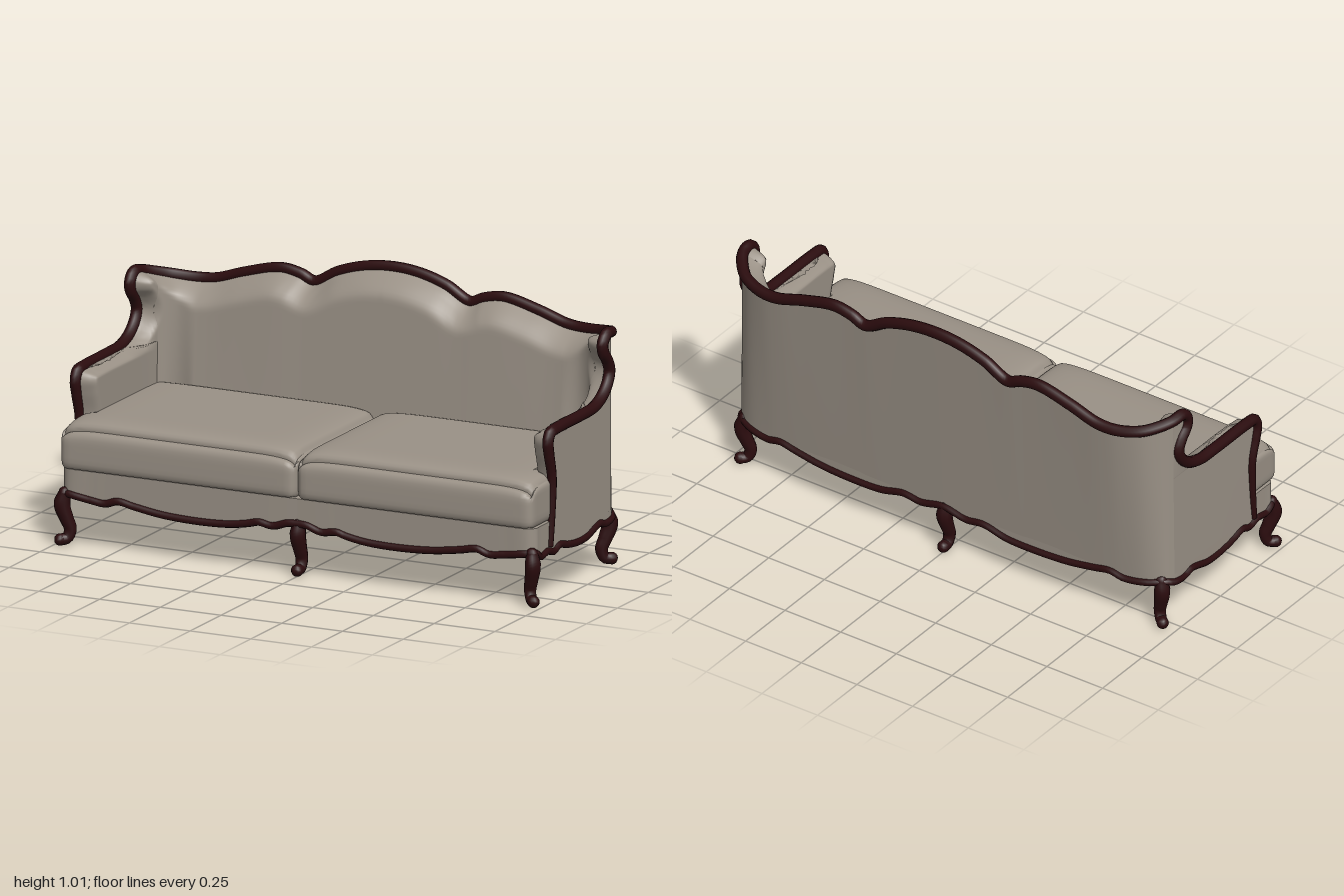
import * as THREE from 'three';
import { toCreasedNormals } from 'three/addons/utils/BufferGeometryUtils.js';

const V = (x, y, z) => new THREE.Vector3(x, y, z);
const spline = (pts, closed = false) => new THREE.CatmullRomCurve3(pts, closed, 'centripetal');
const flipX = p => V(-p.x, p.y, p.z);
const mirrored = pts => [...pts, ...pts.slice(0, -1).reverse().map(flipX)];
const { lerp, clamp } = THREE.MathUtils;

// Mirror a geometry to the other side, keeping its faces outward
function mirrorGeometry(geo) {
  const g = (geo.index ? geo.toNonIndexed() : geo.clone()).scale(-1, 1, 1);
  const index = [];
  for (let i = 0; i < g.attributes.position.count; i += 3) index.push(i, i + 2, i + 1);
  g.setIndex(index);
  return g;
}

// Tube whose radius follows a function of its length
function taperedTube(curve, segments, sides, radius, closed = false) {
  const g = new THREE.TubeGeometry(curve, segments, 1, sides, closed);
  const p = g.attributes.position, v = V(0, 0, 0);
  for (let i = 0; i <= segments; i++) {
    const c = curve.getPointAt(i / segments), r = radius(i / segments);
    for (let j = 0; j <= sides; j++) {
      const k = i * (sides + 1) + j;
      v.fromBufferAttribute(p, k).sub(c).multiplyScalar(r).add(c);
      p.setXYZ(k, v.x, v.y, v.z);
    }
  }
  return g;
}

// Surface spanned between two rows of points, each point passed through shape()
function ruled(a, b, steps, shape = p => p) {
  const pos = [], index = [], n = steps.length;
  a.forEach((p, i) => steps.forEach(t => pos.push(...shape(p.clone().lerp(b[i], t)).toArray())));
  for (let i = 0; i < a.length - 1; i++) for (let j = 0; j < n - 1; j++) {
    const k = i * n + j;
    index.push(k, k + n, k + 1, k + 1, k + n, k + n + 1);
  }
  const g = new THREE.BufferGeometry();
  g.setAttribute('position', new THREE.Float32BufferAttribute(pos, 3));
  g.setIndex(index);
  g.computeVertexNormals();
  return g;
}

// Soft cushion: a rounded box, open below, sagging to its sides, notched behind the arm front
function cushionGeometry() {
  const g = new THREE.BoxGeometry(2, 2, 2, 28, 14, 28), p = g.attributes.position;
  const bottom = g.groups[3], index = [...g.index.array];
  index.splice(bottom.start, bottom.count);
  g.setIndex(index);
  g.clearGroups();
  const size = V(.486, .0985, .34), r = .035, ease = t => Math.sin(t * Math.PI / 2);
  const inner = size.clone().subScalar(r);
  for (let i = 0; i < p.count; i++) {
    const u = V(ease(p.getX(i)), ease(p.getY(i)), ease(p.getZ(i)));
    const q = u.clone().multiply(size);
    const core = q.clone().clamp(inner.clone().negate(), inner);
    q.sub(core).normalize().multiplyScalar(r).add(core);
    const front = Math.max(0, u.z) ** 8;
    q.y -= Math.max(0, u.y) * (.026 * Math.abs(u.x) ** 10 + .03 * front);
    q.z -= .02 * front * Math.max(0, u.y) ** 3;
    q.add(V(.487, .387, .065));
    if (q.z < .235) q.x = Math.min(q.x, .9);
    p.setXYZ(i, q.x, q.y, q.z);
  }
  return toCreasedNormals(g, .8);
}

export function createModel() {
  const group = new THREE.Group();
  const fabric = new THREE.MeshStandardMaterial({ color: 0x9a9186, side: THREE.DoubleSide });
  fabric.name = 'taupe fabric';
  const wood = new THREE.MeshStandardMaterial({ color: 0x2b0c0e });
  wood.name = 'dark mahogany';
  const add = (name, geo, mat) => {
    const m = new THREE.Mesh(geo, mat);
    m.name = name;
    group.add(m);
  };
  const addPair = (name, geo, mat) => {
    add('left' + name, geo, mat);
    add('right' + name, mirrorGeometry(geo), mat);
  };

  // Carved top rail: up the arm front, along the arm, over the wing, across the back
  const armRail = [
    [.25, .2], [.238, .33], [.235, .46], [.258, .55], [.267, .6], [.25, .632], [.2, .638],
    [0, .64], [-.1, .645], [-.17, .672], [-.215, .715], [-.23, .757], [-.212, .797],
    [-.18, .835], [-.175, .87], [-.205, .9], [-.255, .895],
  ].map(([z, y], i, all) => V(i === all.length - 1 ? .966 : .973, y, z));
  const backRail = [
    [.935, .882, -.302], [.885, .868, -.347], [.8, .858, -.378], [.72, .863, -.387], [.6, .9, -.389],
    [.46, .932, -.39], [.38, .92, -.39], [.32, .898, -.39], [.22, .948, -.392], [.11, .98, -.394], [0, .99, -.395],
  ].map(p => V(...p));
  const half = [...armRail, ...backRail];
  const rail = spline(mirrored(half));
  const spans = 2 * half.length - 2, join = armRail.length - 1;
  const sample = (curve, from, to, n) =>
    Array.from({ length: n + 1 }, (_, i) => curve.getPoint(lerp(from, to, i / n)));
  const armTop = sample(rail, 0, join / spans, 120);
  const backTop = sample(rail, join / spans, .5, 70);
  add('topRail', taperedTube(rail, 320, 10,
    t => lerp(.012, .022, Math.min(1, Math.min(t, 1 - t) / .1))), wood);

  // Upholstered shell: arm panels run back to the join, back panels run down to the base
  const joinAt = y => {
    const t = clamp((y - .2) / .695, 0, 1);
    return V(lerp(.97, .966, t), y, lerp(-.25, -.255, t));
  };
  const armEnd = armTop.map(p => joinAt(Math.min(p.y, .895)));
  const backFoot = sample(spline([
    [.97, -.25], [.95, -.285], [.893, -.315], [.8, -.33], [.72, -.335], [.6, -.338],
    [.46, -.34], [.38, -.341], [.32, -.342], [.22, -.343], [.11, -.344], [0, -.345],
  ].map(([x, z]) => V(x, .2, z))), 0, 1, 70);
  const armSteps = [0, .015, .03, .05, .075, .1, .14, .2, .3, .45, .6, .8, 1];
  const backSteps = Array.from({ length: 41 }, (_, i) => (i / 40) ** 1.4);
  addPair('ArmOutside', ruled(armTop, armEnd, armSteps), fabric);
  addPair('BackOutside', ruled(backTop, backFoot, backSteps), fabric);

  // Padding swells inward away from the rail, softer across the back
  const edge = [...armTop, ...backTop];
  const pad = p => {
    const d = Math.min(...edge.map(e => e.distanceTo(p)));
    const dir = V(Math.min(0, .75 - p.x), 0, Math.max(0, -.2 - p.z)).normalize();
    const depth = lerp(.073, .1, dir.z), reach = lerp(.03, .1, dir.z);
    return p.addScaledVector(dir, depth * Math.sin(Math.min(1, d / reach) * Math.PI / 2));
  };
  addPair('ArmPadding', ruled(armTop, armEnd, armSteps, pad), fabric);
  addPair('BackPadding', ruled(backTop, backFoot, backSteps, pad), fabric);

  // Scalloped lower rail all round
  const lowerHalf = [
    [0, .2, .383], [.04, .198, .384], [.1, .18, .385], [.16, .188, .385], [.2, .178, .385], [.28, .165, .385],
    [.4, .16, .385], [.55, .166, .385], [.67, .183, .385], [.74, .195, .385], [.79, .18, .385],
    [.85, .186, .385], [.945, .2, .383], [.972, .2, .36], [.972, .18, .33], [.972, .188, .27],
    [.972, .175, .22], [.972, .19, .175], [.972, .175, .11], [.972, .165, .03], [.972, .168, -.05],
    [.972, .185, -.11], [.972, .193, -.15], [.972, .182, -.19], [.97, .188, -.25], [.95, .198, -.285],
    [.893, .19, -.315], [.8, .182, -.33], [.74, .195, -.334], [.67, .183, -.336], [.55, .166, -.339],
    [.4, .16, -.341], [.28, .165, -.342], [.18, .188, -.343], [.1, .18, -.344], [0, .2, -.345],
  ].map(p => V(...p));
  const lower = spline(mirrored(lowerHalf).slice(0, -1), true);
  add('lowerRail', taperedTube(lower, 360, 8, () => .014, true), wood);

  // Apron above the lower rail, its top edge turned in under the cushion fronts
  const apronFoot = sample(spline(lowerHalf), 0, 1, 150);
  const apronTop = apronFoot.map(p => V(p.x, p.z > .235 ? .295 : .22, p.z));
  addPair('Apron', ruled(apronFoot, apronTop, [0, .5, 1]), fabric);
  const lip = apronTop.filter(p => p.z > .235);
  addPair('ApronLip', ruled(lip, lip.map(p => V(Math.min(p.x, .925), .3, Math.min(p.z, .345))), [0, 1]), fabric);

  // Two seat cushions
  addPair('SeatCushion', cushionGeometry(), fabric);

  // Cabriole legs with scroll feet; each turns its knee outward
  const legCurve = spline([[0, .2], [.01, .155], [-.008, .1], [-.022, .06], [-.01, .028], [.015, .023]]
    .map(([x, y]) => V(x, y, 0)));
  const radii = [.023, .031, .029, .026, .024, .022, .022];
  const legRadius = t => {
    const k = Math.min(t * 6, 5.999), i = Math.floor(k);
    return lerp(radii[i], radii[i + 1], k - i);
  };
  const legParts = {
    Shaft: taperedTube(legCurve, 28, 10, legRadius),
    Cap: new THREE.SphereGeometry(.0235, 10, 8).translate(0, .2, 0),
    Foot: new THREE.SphereGeometry(.023, 10, 8).translate(.017, .023, 0),
  };
  const leg = (name, x, z, angle, place) => {
    for (const [part, geo] of Object.entries(legParts))
      place(name + part, geo.clone().rotateY(angle).translate(x, 0, z), wood);
  };
  leg('FrontLeg', .962, .375, -Math.PI / 4, addPair);
  leg('RearLeg', .936, -.285, .7, addPair);
  leg('centreFrontLeg', 0, .368, -Math.PI / 2, add);
  leg('centreRearLeg', 0, -.33, Math.PI / 2, add);
  return group;
}
